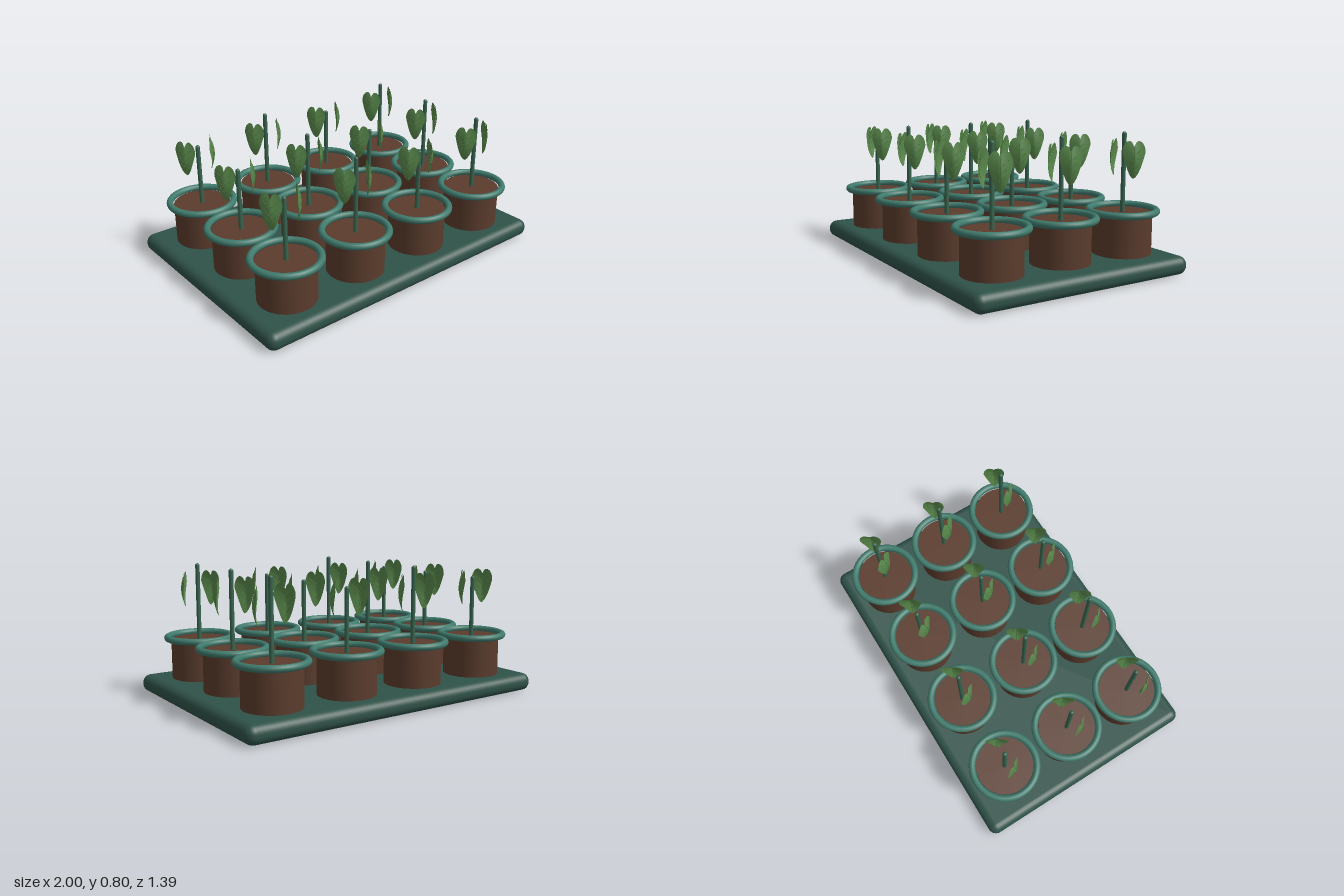
import * as THREE from 'three';
import { RoundedBoxGeometry } from 'three/addons/geometries/RoundedBoxGeometry.js';

const mat = (color, side = THREE.FrontSide) => new THREE.MeshStandardMaterial({ color, side });
const trayMat = mat(0x2f5248);
const rimMat = mat(0x3f7a6c);
const potMat = mat(0x5b3c2d);
const stemMat = mat(0x38654f);
const leafMat = mat(0x5a8a4c, THREE.DoubleSide);
const veinMat = mat(0x4c7a40);

function add(parent, name, geometry, material, x = 0, y = 0, z = 0) {
  const mesh = new THREE.Mesh(geometry, material);
  mesh.name = name;
  mesh.position.set(x, y, z);
  parent.add(mesh);
  return mesh;
}

// Leaf: heart outline, tip at y = 0, bowed outwards along local +z
const HALF = 0.064;
const LENGTH = 0.21;
const lower = (u) => 0.145 * Math.abs(u) ** 1.7;
function upper(u) {
  const a = Math.abs(u);
  const t = a > 0.4 ? (a - 0.4) / 0.6 : (0.4 - a) / 0.47;
  return 0.145 + 0.065 * Math.sqrt(Math.max(0, 1 - t * t));
}
const bow = (u, y) => 0.024 * (1 - Math.abs(u)) * Math.sin((Math.PI * y) / LENGTH);
const onLeaf = (u, y) => new THREE.Vector3(u * HALF, y, bow(u, y));

function leafGeometry() {
  const cols = 20, rows = 10;
  const geo = new THREE.PlaneGeometry(1, 1, cols, rows);
  const pos = geo.attributes.position;
  for (let i = 0; i < pos.count; i++) {
    const u = Math.sin(pos.getX(i) * Math.PI);
    const v = pos.getY(i) + 0.5;
    const p = onLeaf(u, THREE.MathUtils.lerp(lower(u), upper(u), v));
    pos.setXYZ(i, p.x, p.y, p.z);
  }
  geo.computeVertexNormals();
  return geo;
}

// Vein: thin tube that follows the leaf surface between two points
function veinGeometry(u0, y0, u1, y1, radius) {
  const pts = [];
  for (let i = 0; i <= 4; i++) {
    const t = i / 4;
    pts.push(onLeaf(u0 + (u1 - u0) * t, y0 + (y1 - y0) * t));
  }
  return new THREE.TubeGeometry(new THREE.CatmullRomCurve3(pts), 8, radius, 5);
}

const leafGeo = leafGeometry();
const veinGeos = [veinGeometry(0, 0.005, 0, 0.175, 0.0022)];
for (const y of [0.05, 0.09, 0.13]) {
  for (const side of [-1, 1]) {
    veinGeos.push(veinGeometry(0, y, side * (0.3 + y * 2.6), y + 0.035, 0.0013));
  }
}

function makeLeaf(side) {
  const leaf = new THREE.Group();
  leaf.name = side > 0 ? 'leftLeaf' : 'rightLeaf';
  add(leaf, 'leafBlade', leafGeo, leafMat);
  veinGeos.forEach((g) => add(leaf, 'leafVein', g, veinMat));
  leaf.position.set(side * 0.081, 0.54, 0);
  leaf.rotation.y = side * 1.013;
  return leaf;
}

const potGeo = new THREE.CylinderGeometry(0.168, 0.168, 0.24, 48);
const rimGeo = new THREE.TorusGeometry(0.19, 0.02, 14, 48).rotateX(Math.PI / 2);

function makePlant(column) {
  const plant = new THREE.Group();
  plant.name = 'pottedSeedling';
  add(plant, 'pot', potGeo, potMat, 0, 0.22, 0);
  add(plant, 'potRim', rimGeo, rimMat, 0, 0.351, 0);
  // Stems alternate between short and tall by column
  const top = column % 2 ? 0.797 : 0.709;
  const base = 0.31, r = 0.013;
  const stem = new THREE.CapsuleGeometry(r, top - base - 2 * r, 5, 12);
  add(plant, 'stem', stem, stemMat, 0, (top + base) / 2, 0);
  plant.add(makeLeaf(-1), makeLeaf(1));
  return plant;
}

export function createModel() {
  const model = new THREE.Group();
  model.name = 'seedlingTray';
  add(model, 'tray', new RoundedBoxGeometry(2, 0.107, 1.386, 5, 0.05), trayMat, 0, 0.0535, 0);

  // Four columns by three rows of pots
  for (let column = 0; column < 4; column++) {
    for (let row = 0; row < 3; row++) {
      const plant = makePlant(column);
      plant.position.set((column - 1.5) * 0.477, 0, (row - 1) * 0.435);
      model.add(plant);
    }
  }
  return model;
}
